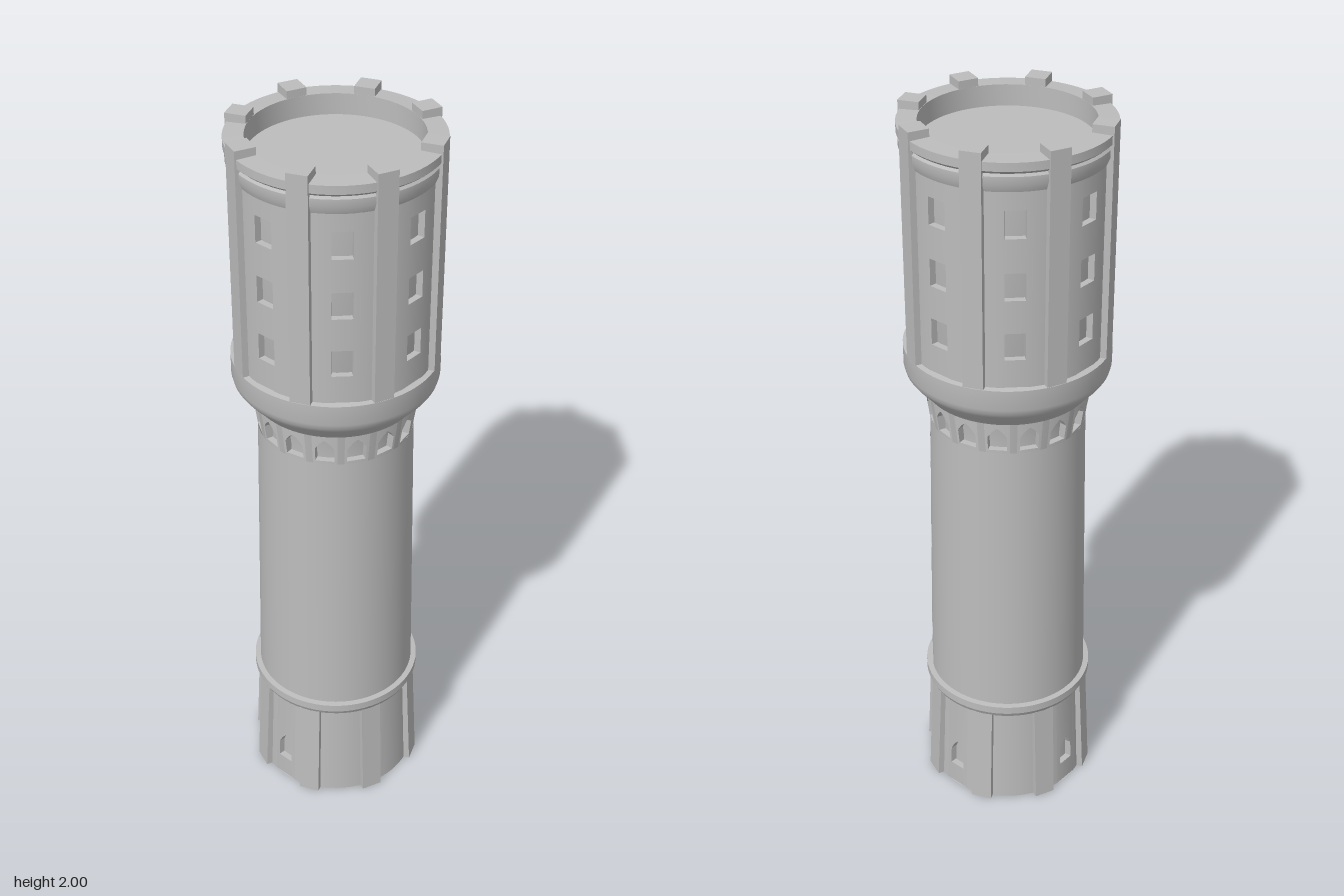
import * as THREE from 'three';
import { toCreasedNormals } from 'three/addons/utils/BufferGeometryUtils.js';

const DEG = Math.PI / 180;
const stone = new THREE.MeshStandardMaterial({ color: 0xbcbcbc, side: THREE.DoubleSide });
stone.name = 'stone';

function mesh(geometry, name, parent) {
  const m = new THREE.Mesh(geometry, stone);
  m.name = name;
  parent.add(m);
  return m;
}

// Full turned part with sharp mouldings
function turned(points, name, parent) {
  const g = new THREE.LatheGeometry(points.map(p => new THREE.Vector2(...p)), 72);
  return mesh(toCreasedNormals(g, 25 * DEG), name, parent);
}

// Outlines of openings: x is the distance along the wall
function rectHole(w, y0, y1) {
  return new THREE.Path([[-w / 2, y0], [-w / 2, y1], [w / 2, y1], [w / 2, y0]]
    .map(p => new THREE.Vector2(...p)));
}
function pointedHole(w, y0, y1) {
  const s = y0 + (y1 - y0) * 0.58;
  return new THREE.Path([[-w / 2, y0], [-w / 2, s], [-w / 4, y1 - (y1 - s) * 0.38], [0, y1],
    [w / 4, y1 - (y1 - s) * 0.38], [w / 2, s], [w / 2, y0]].map(p => new THREE.Vector2(...p)));
}

// Flat strip with openings, bent round the tower axis
function windowStrip(wall, angle, width, holes) {
  const { y0, y1, r0, r1, depth } = wall, mid = (r0 + r1) / 2;
  const shape = new THREE.Shape([[-width / 2, y0], [width / 2, y0], [width / 2, y1], [-width / 2, y1]]
    .map(p => new THREE.Vector2(...p)));
  shape.holes.push(...holes);
  const g = new THREE.ExtrudeGeometry(shape, { depth, bevelEnabled: false });
  const pos = g.attributes.position;
  const caps = Array.from({ length: pos.count }, (_, i) => g.attributes.normal.getZ(i) > 0.5);
  const angles = [];
  for (let i = 0; i < pos.count; i++) {
    const y = pos.getY(i), a = angle + pos.getX(i) / mid;
    const r = r0 + (r1 - r0) * (y - y0) / (y1 - y0) - depth + pos.getZ(i);
    angles.push(a);
    pos.setXYZ(i, r * Math.sin(a), y, r * Math.cos(a));
  }
  g.computeVertexNormals();
  caps.forEach((cap, i) => {
    if (cap) g.attributes.normal.setXYZ(i, Math.sin(angles[i]), 0, Math.cos(angles[i]));
  });
  return g;
}

// Wall ring made of window strips with plain curved wall between them
function wallRing(wall, name, degrees, width, makeHoles, parent) {
  const group = new THREE.Group();
  group.name = name;
  parent.add(group);
  const half = width / (wall.r0 + wall.r1);
  degrees.forEach((d, i) => {
    const a = d * DEG;
    const next = (i + 1 < degrees.length ? degrees[i + 1] : degrees[0] + 360) * DEG;
    mesh(windowStrip(wall, a, width, makeHoles()), 'windowStrip', group);
    const span = next - a - 2 * half;
    mesh(new THREE.LatheGeometry(
      [new THREE.Vector2(wall.r0, wall.y0), new THREE.Vector2(wall.r1, wall.y1)],
      Math.max(2, Math.ceil(span / (5 * DEG))), a + half, span), 'plainWall', group);
  });
}

// Eight upright ribs; the outer face leans from r0 at the foot to r1 at the head
function ribs(name, width, y0, y1, rIn, r0, r1, parent) {
  const g = new THREE.BoxGeometry(width, y1 - y0, 1);
  const pos = g.attributes.position;
  for (let i = 0; i < pos.count; i++) {
    const outer = pos.getY(i) > 0 ? r1 : r0;
    pos.setZ(i, pos.getZ(i) > 0 ? outer : rIn);
  }
  g.translate(0, (y0 + y1) / 2, 0);
  g.computeVertexNormals();
  for (let k = 0; k < 8; k++) mesh(g, name, parent).rotation.y = k * 45 * DEG;
}

export function createModel() {
  const tower = new THREE.Group();
  tower.name = 'tower';

  // Inner core, seen at the back of every opening
  turned([[0, 0], [0.226, 0], [0.207, 0.002], [0.197, 0.32], [0.199, 0.34], [0.187, 1.15],
    [0.187, 1.25], [0.236, 1.38], [0.236, 1.91]], 'core', tower);

  // Base
  wallRing({ y0: 0, y1: 0.31, r0: 0.226, r1: 0.214, depth: 0.022 }, 'baseWall',
    [67.5, 112.5, 202.5, 292.5], 0.07, () => [pointedHole(0.046, 0.065, 0.155)], tower);
  ribs('baseRib', 0.058, 0, 0.308, 0.19, 0.241, 0.226, tower);
  turned([[0.2, 0.306], [0.226, 0.306], [0.233, 0.32], [0.233, 0.342], [0.2, 0.345]], 'baseLedge', tower);

  // Shaft with one column of windows
  wallRing({ y0: 0.34, y1: 1.165, r0: 0.218, r1: 0.204, depth: 0.02 }, 'shaft', [67.5], 0.07,
    () => [0.44, 0.735, 1.01].map(y => pointedHole(0.046, y, y + 0.1)), tower);

  // Collar with sixteen small pointed openings
  const collarAngles = Array.from({ length: 16 }, (_, k) => 11.25 + 22.5 * k);
  wallRing({ y0: 1.165, y1: 1.26, r0: 0.204, r1: 0.217, depth: 0.02 }, 'collar', collarAngles, 0.064,
    () => [pointedHole(0.05, 1.174, 1.245)], tower);

  // Flare that carries the wide head
  turned([[0.21, 1.257], [0.217, 1.258], [0.228, 1.272], [0.255, 1.302], [0.264, 1.315], [0.268, 1.33],
    [0.268, 1.385], [0.235, 1.39]], 'flare', tower);

  // Head with three windows in each bay
  const bays = Array.from({ length: 8 }, (_, k) => 22.5 + 45 * k);
  wallRing({ y0: 1.385, y1: 1.905, r0: 0.254, r1: 0.254, depth: 0.02 }, 'headWall', bays, 0.075,
    () => [1.5, 1.66, 1.82].map(y => rectHole(0.052, y - 0.036, y + 0.036)), tower);
  ribs('headRib', 0.053, 1.387, 2, 0.215, 0.269, 0.269, tower);

  // Parapet mouldings and sunken roof floor
  turned([[0.24, 1.9], [0.254, 1.902], [0.262, 1.922], [0.262, 1.942], [0.257, 1.948], [0.266, 1.956],
    [0.266, 1.978], [0.215, 1.98], [0.215, 1.925], [0, 1.925]], 'parapet', tower);

  return tower;
}
